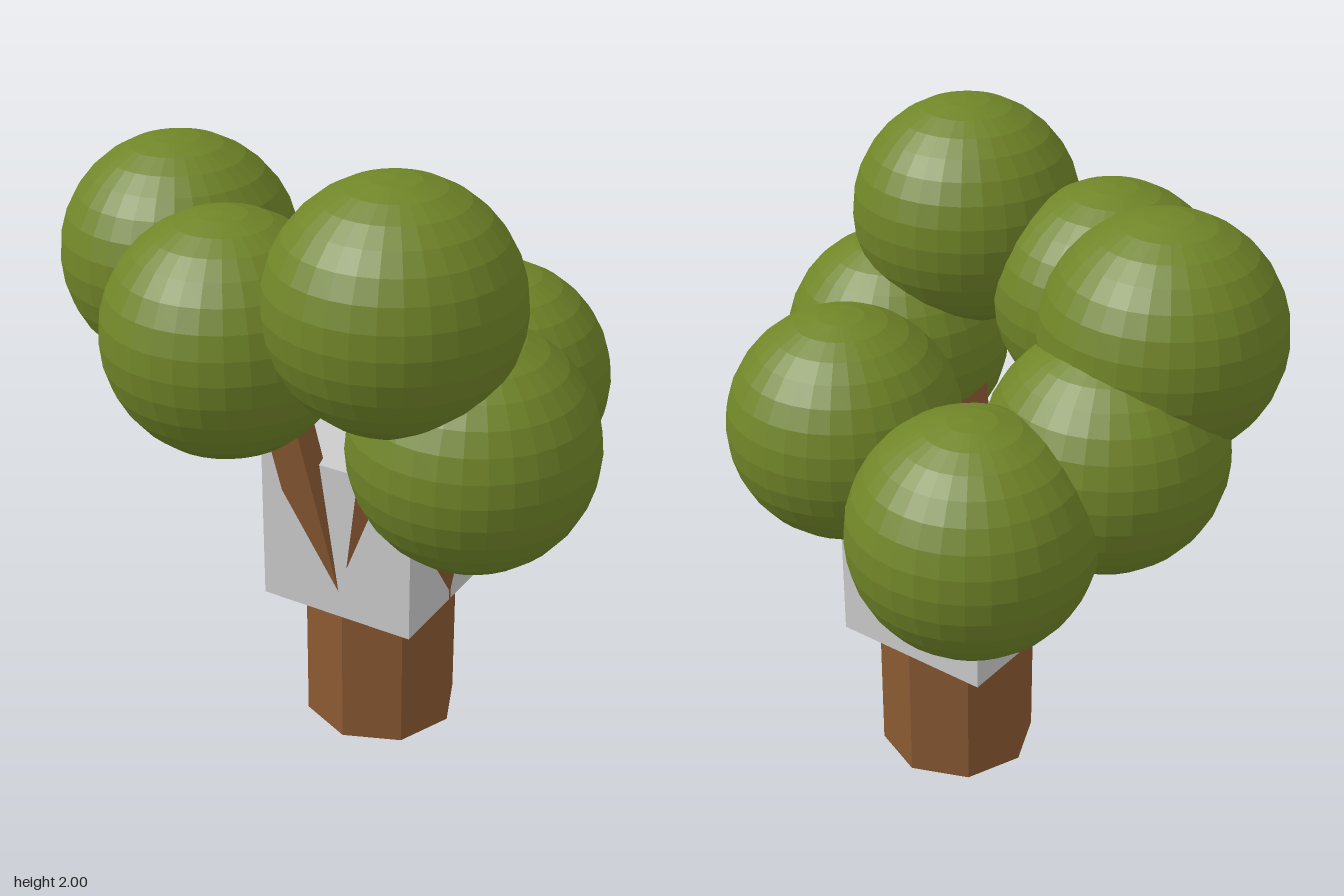
import * as THREE from 'three';

const CX = 0.05, CZ = -0.055, R = 0.247, FORK = 0.5;

export function createModel() {
  const tree = new THREE.Group();
  tree.name = 'tree';
  const bark = new THREE.MeshStandardMaterial({ color: 0x8b5a33, flatShading: true });
  const leaves = new THREE.MeshStandardMaterial({ color: 0x708528, flatShading: true });
  const grey = new THREE.MeshStandardMaterial({ color: 0xcccccc, flatShading: true });

  const add = (name, geometry, material, x = 0, y = 0, z = 0) => {
    const mesh = new THREE.Mesh(geometry, material);
    mesh.name = name;
    mesh.position.set(x, y, z);
    tree.add(mesh);
  };

  // Octagonal trunk and the block around its fork
  add('trunk', new THREE.CylinderGeometry(R, R, FORK, 8), bark, CX, FORK / 2, CZ);
  add('block', new THREE.BoxGeometry(0.52, 0.515, 0.52), grey, 0.035, 0.7225, -0.055);

  // Branches: wedges rising from sides of the trunk [side, top y, x lean, z lean]
  const branches = [
    [0, 1.6, 0.17, 0.09],
    [1, 1.2, 0.23, 0.14],
    [3, 1.15, 0.3, -0.17],
    [5, 1.1, -0.3, -0.38],
    [6, 1.4, -0.12, 0.18],
    [7, 1.42, -0.08, 0.24],
  ];
  for (const [side, top, leanX, leanZ] of branches) {
    add('branch', branchGeometry(side * Math.PI / 4, top, leanX, leanZ), bark);
  }

  // Ball-shaped clumps of leaves
  const ball = new THREE.SphereGeometry(0.356, 32, 16);
  const clumps = [
    [0.335, 1.645, 0.385],
    [-0.515, 1.55, 0.165],
    [-0.17, 1.47, 0.435],
    [0.51, 1.21, 0.245],
    [-0.465, 1.25, -0.03],
    [-0.3, 1.12, -0.438],
    [0.32, 1.175, -0.245],
  ];
  for (const [x, y, z] of clumps) add('leafClump', ball, leaves, x, y, z);

  return tree;
}

// Three-sided prism standing on one trunk side, sheared outward as it rises
function branchGeometry(angle, top, leanX, leanZ) {
  const step = Math.PI / 4;
  const corners = [[angle + step / 2, R * 0.45], [angle, R], [angle + step, R]];
  const points = [];
  for (const y of [FORK, top]) {
    for (const [a, r] of corners) {
      const rise = y - FORK;
      points.push(CX + r * Math.sin(a) + leanX * rise, y, CZ + r * Math.cos(a) + leanZ * rise);
    }
  }
  const faces = [2, 1, 0, 3, 4, 5];
  for (let i = 0; i < 3; i++) {
    const j = (i + 1) % 3;
    faces.push(i, j, j + 3, i, j + 3, i + 3);
  }
  const geometry = new THREE.BufferGeometry();
  geometry.setAttribute('position', new THREE.Float32BufferAttribute(points, 3));
  geometry.setIndex(faces);
  const flat = geometry.toNonIndexed();
  flat.computeVertexNormals();
  return flat;
}
